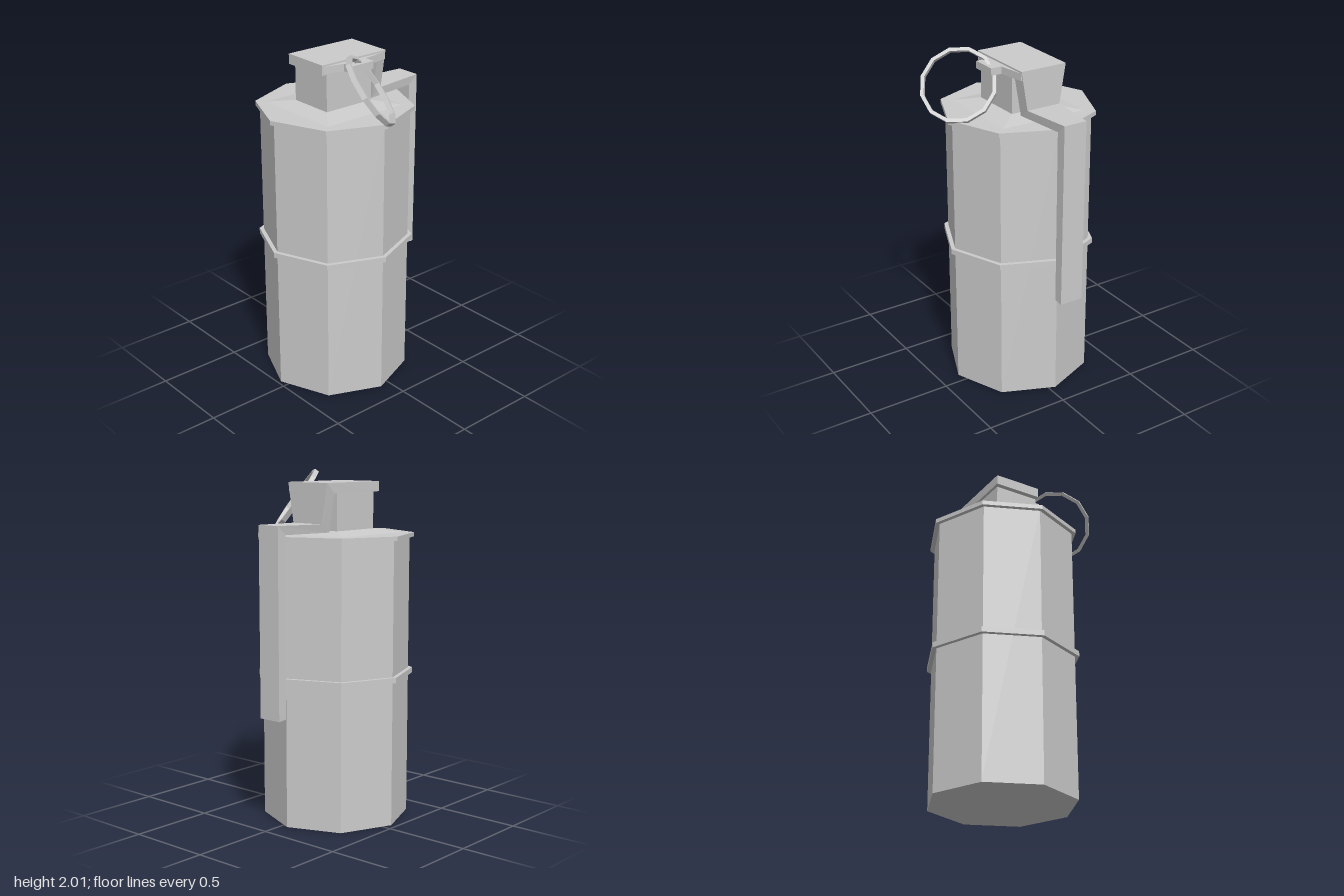
import * as THREE from 'three';

const grey = new THREE.MeshStandardMaterial({ color: 0xcccccc, flatShading: true });
const CX = -0.045, CZ = 0.058; // axis of the canister

function part(name, geometry, x = 0, y = 0, z = 0) {
  const mesh = new THREE.Mesh(geometry, grey);
  mesh.name = name;
  mesh.position.set(x, y, z);
  return mesh;
}

// Skin a row of four-cornered cross-sections and close both ends
function loft(sections) {
  const pos = [];
  const quad = (a, b, c, d) => pos.push(...a, ...b, ...c, ...a, ...c, ...d);
  for (let i = 0; i < sections.length - 1; i++) {
    const s = sections[i], t = sections[i + 1];
    for (let k = 0; k < 4; k++) quad(s[k], s[(k + 1) % 4], t[(k + 1) % 4], t[k]);
  }
  quad(...[...sections[0]].reverse());
  quad(...sections[sections.length - 1]);
  const geometry = new THREE.BufferGeometry();
  geometry.setAttribute('position', new THREE.Float32BufferAttribute(pos, 3));
  geometry.computeVertexNormals();
  return geometry;
}

// Horizontal rectangle used as a loft section
const rect = (x0, x1, z0, z1, y) => [[x1, y, z1], [x1, y, z0], [x0, y, z0], [x0, y, z1]];

// Eight-sided drum, a corner facing the front
function octagon(name, radius, y0, y1) {
  const geometry = new THREE.CylinderGeometry(radius, radius, y1 - y0, 8);
  geometry.rotateY(-0.012);
  return part(name, geometry, CX, (y0 + y1) / 2, CZ);
}

export function createModel() {
  const model = new THREE.Group();
  model.name = 'canister';

  // Canister with its two rims
  model.add(octagon('body', 0.422, 0, 1.64));
  model.add(octagon('middleRim', 0.447, 0.833, 0.864));
  model.add(octagon('topRim', 0.447, 1.628, 1.653));

  // Shallow sloped shoulder and square neck
  model.add(part('shoulder', loft([
    rect(-0.33, 0.24, -0.228, 0.345, 1.65),
    rect(-0.182, 0.09, -0.094, 0.225, 1.674),
  ])));
  model.add(part('neck', new THREE.BoxGeometry(0.27, 0.24, 0.319), -0.046, 1.78, 0.0655));

  // Cap plate folding down the back into the long lever:
  // centre x, half width, outer z and y, inner z and y
  const lever = [
    [-0.055, 0.143, 0.255, 1.943, 0.255, 1.885],
    [-0.05, 0.143, -0.195, 1.943, -0.13, 1.885],
    [-0.05, 0.105, -0.195, 1.717, -0.13, 1.668],
    [-0.043, 0.071, -0.502, 1.722, -0.442, 1.67],
    [-0.043, 0.071, -0.5, 0.65, -0.445, 0.656],
  ].map(([x, w, oz, oy, iz, iy]) => [[x - w, oy, oz], [x + w, oy, oz], [x + w, iy, iz], [x - w, iy, iz]]);
  model.add(part('lever', loft(lever)));

  // Tab on the left side that holds the ring
  const outline = [[0.07, 0.255], [0.086, 0.255], [0.116, 0.125], [0.18, 0.125],
    [0.18, -0.03], [0.116, -0.03], [0.093, -0.19], [0.07, -0.19]];
  const tabShape = new THREE.Shape(outline.map(([x, z]) => new THREE.Vector2(x, -z)));
  const tab = new THREE.ExtrudeGeometry(tabShape, { depth: 0.042, bevelEnabled: false });
  tab.rotateX(-Math.PI / 2);
  model.add(part('ringTab', tab, 0, 1.891, 0));

  // Twelve-sided pull ring, tilted through the tab
  const inner = 0.197, outer = 0.217, h = 0.014;
  const profile = [[inner, -h], [outer, -h], [outer, h], [inner, h], [inner, -h]];
  const ring = part('pullRing',
    new THREE.LatheGeometry(profile.map(([r, y]) => new THREE.Vector2(r, y)), 12), 0.308, 1.825, 0.102);
  const axis = new THREE.Vector3(1, 1, -1).normalize();
  const corner = new THREE.Vector3(0.172, -0.062, 0.11).normalize();
  const side = new THREE.Vector3().crossVectors(axis, corner).normalize();
  corner.crossVectors(side, axis);
  ring.quaternion.setFromRotationMatrix(new THREE.Matrix4().makeBasis(side, axis, corner));
  model.add(ring);

  return model;
}
